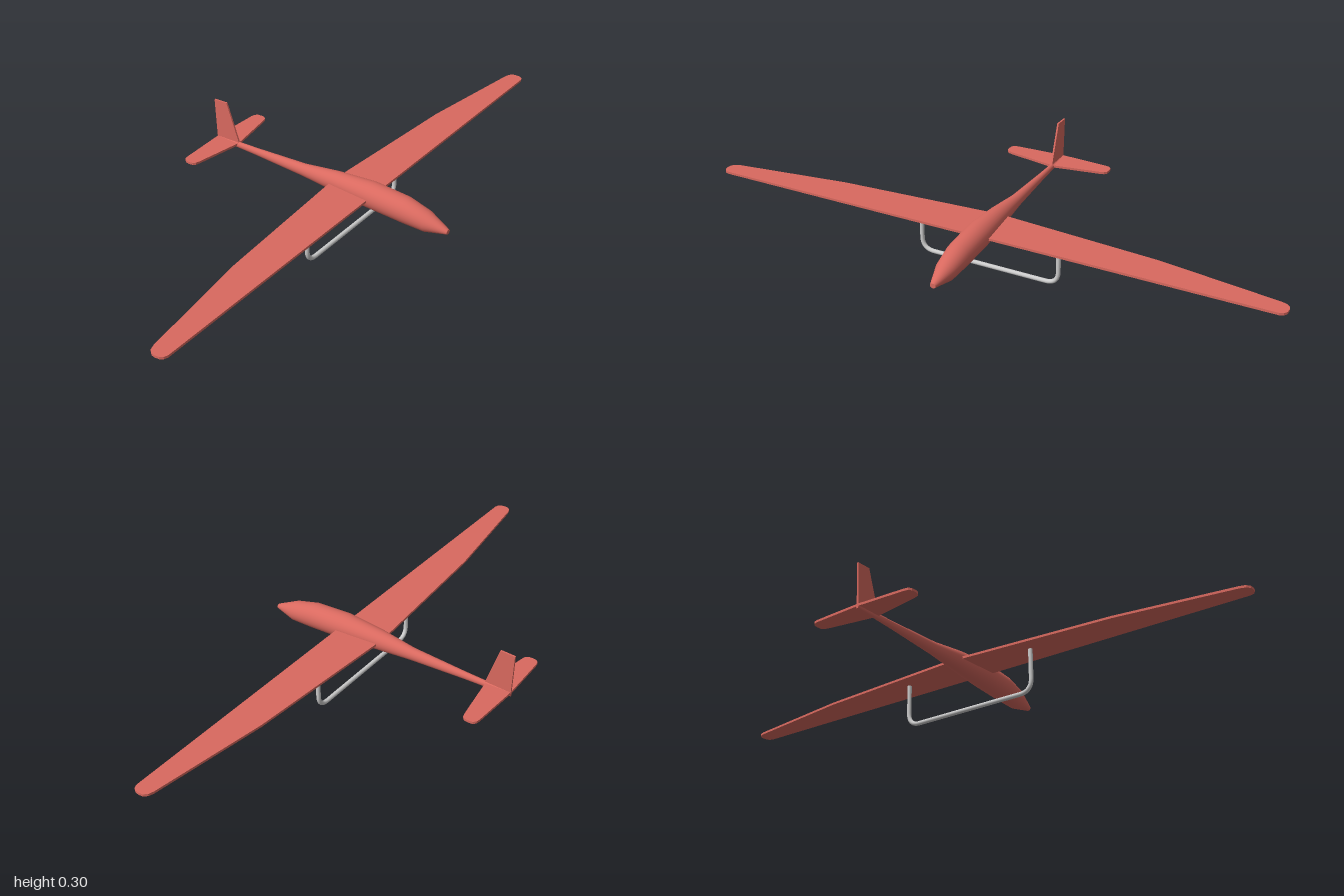
import * as THREE from 'three';

const red = new THREE.MeshStandardMaterial({ color: 0xd9695f });
const grey = new THREE.MeshStandardMaterial({ color: 0xcccccc });

function add(group, name, geometry, material) {
  const mesh = new THREE.Mesh(geometry, material);
  mesh.name = name;
  group.add(mesh);
  return mesh;
}

// Thin plate from an outline of [u, v] points
function plate(points, thickness) {
  const shape = new THREE.Shape(points.map(([u, v]) => new THREE.Vector2(u, v)));
  return new THREE.ExtrudeGeometry(shape, { depth: thickness, bevelEnabled: false });
}

// Horizontal surface mirrored about x = 0, from the [x, z] outline of its left half
function flyingSurface(half, yTop, thickness) {
  const mirrored = half.filter(([x]) => x > 0).map(([x, z]) => [-x, z]).reverse();
  return plate([...half, ...mirrored], thickness).rotateX(Math.PI / 2).translate(0, yTop, 0);
}

// Elliptical body lofted through stations [z, top, bottom, half width]
function loft(stations, sides) {
  const positions = [], index = [];
  stations.forEach(([z, top, bottom, rx], i) => {
    for (let j = 0; j < sides; j++) {
      const a = (j / sides) * Math.PI * 2;
      positions.push(rx * Math.cos(a), (top + bottom) / 2 + ((top - bottom) / 2) * Math.sin(a), z);
      if (i === stations.length - 1) continue;
      const k = (j + 1) % sides;
      const p = i * sides + j, q = i * sides + k;
      index.push(p, p + sides, q, q, p + sides, q + sides);
    }
  });
  const geometry = new THREE.BufferGeometry();
  geometry.setAttribute('position', new THREE.Float32BufferAttribute(positions, 3));
  geometry.setIndex(index);
  geometry.computeVertexNormals();
  return geometry;
}

// Flat elliptical cap closing one end of the body
function cap([z, top, bottom, rx], sides, rear) {
  const geometry = new THREE.CircleGeometry(1, sides);
  if (rear) geometry.rotateY(Math.PI);
  return geometry.scale(rx, (top - bottom) / 2, 1).translate(0, (top + bottom) / 2, z);
}

export function createModel() {
  const glider = new THREE.Group();
  glider.name = 'glider';

  // Fuselage tapering from the nose into a slim tail boom
  const sides = 32;
  const stations = [
    [0.467, 0.138, 0.122, 0.01],
    [0.39, 0.176, 0.105, 0.034],
    [0.31, 0.197, 0.108, 0.042],
    [0.18, 0.205, 0.115, 0.044],
    [0.04, 0.195, 0.125, 0.033],
    [-0.09, 0.178, 0.134, 0.02],
    [-0.29, 0.169, 0.143, 0.011],
    [-0.46, 0.164, 0.148, 0.006],
  ];
  add(glider, 'fuselage', loft(stations, sides), red);
  add(glider, 'noseCap', cap(stations[0], sides, false), red);
  add(glider, 'tailCap', cap(stations[stations.length - 1], sides, true), red);

  // Wing with straight front edge and tapered rear edge
  add(glider, 'wing', flyingSurface([
    [0, 0.03], [0.57, 0.07], [0.97, 0.127], [0.988, 0.133], [0.998, 0.145],
    [1, 0.158], [0.998, 0.173], [0.991, 0.183], [0.978, 0.188], [0, 0.188],
  ], 0.163, 0.008), red);

  // Tailplane
  add(glider, 'tailplane', flyingSurface([
    [0, -0.46], [0.17, -0.452], [0.185, -0.449], [0.193, -0.44], [0.195, -0.425],
    [0.193, -0.41], [0.185, -0.402], [0.17, -0.398], [0, -0.369],
  ], 0.163, 0.008), red);

  // Fin, outlined as [-z, y]
  const fin = plate([
    [0.367, 0.155], [0.46, 0.148], [0.467, 0.302], [0.415, 0.304], [0.367, 0.166],
  ], 0.006).rotateY(Math.PI / 2).translate(-0.003, 0, 0);
  add(glider, 'fin', fin, red);

  // U-shaped stand bent from round bar
  const r = 0.0075, x = 0.249, bend = 0.045, z = 0.106;
  const path = new THREE.CurvePath();
  const v = (px, py) => new THREE.Vector3(px, py, z);
  path.add(new THREE.LineCurve3(v(-x, 0.157), v(-x, r + bend)));
  path.add(new THREE.QuadraticBezierCurve3(v(-x, r + bend), v(-x, r), v(-x + bend, r)));
  path.add(new THREE.LineCurve3(v(-x + bend, r), v(x - bend, r)));
  path.add(new THREE.QuadraticBezierCurve3(v(x - bend, r), v(x, r), v(x, r + bend)));
  path.add(new THREE.LineCurve3(v(x, r + bend), v(x, 0.157)));
  add(glider, 'stand', new THREE.TubeGeometry(path, 120, r, 16, false), grey);

  return glider;
}
